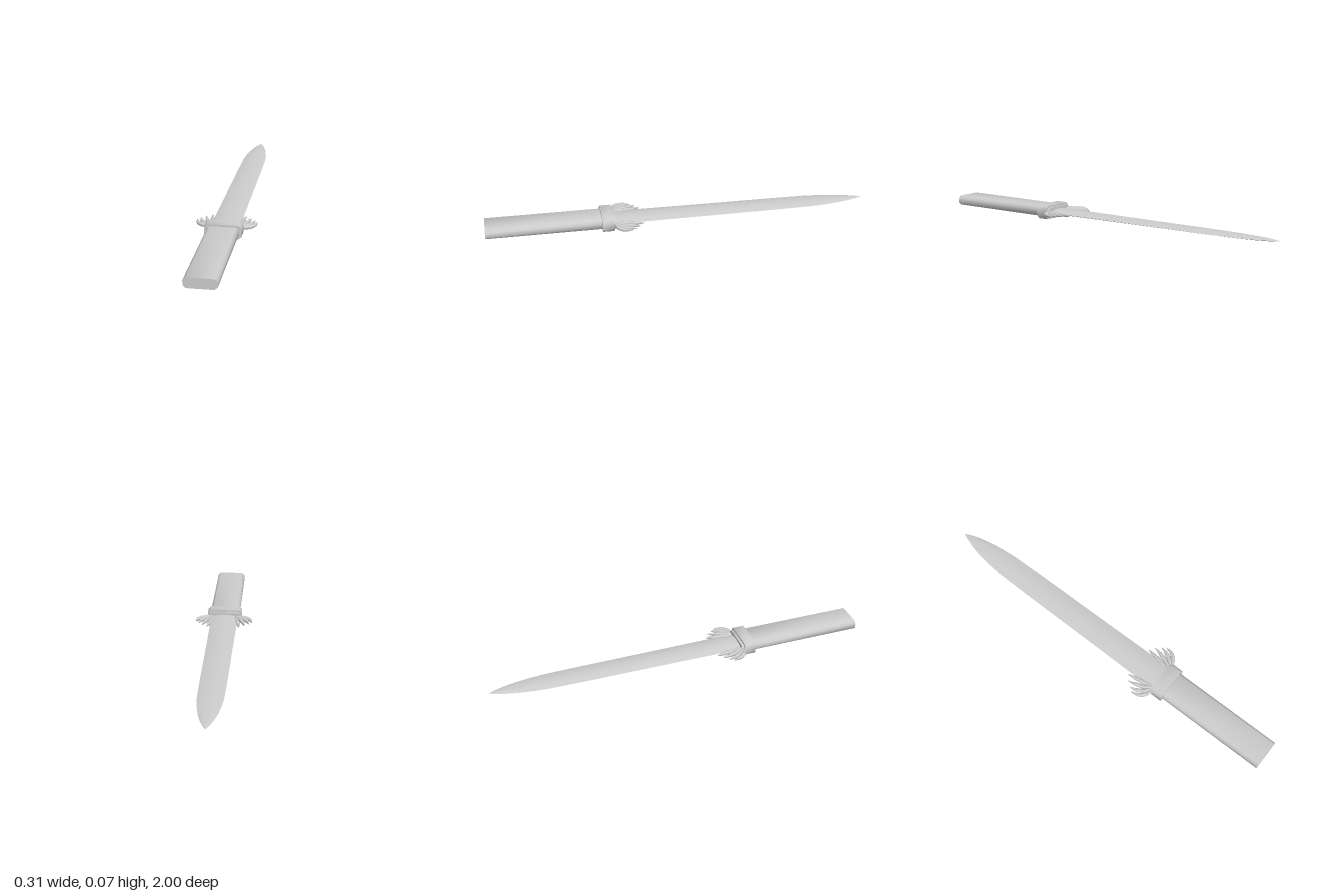
import * as THREE from 'three';
import { toCreasedNormals } from 'three/addons/utils/BufferGeometryUtils.js';

const MID = 0.036; // height of the blade's central plane

// Bevelled bar running along z
function bar(halfW, halfH, cut, z0, z1) {
  const w = halfW, h = halfH, c = cut;
  const shape = new THREE.Shape([
    [w, -h + c], [w, h - c], [w - c, h], [-w + c, h],
    [-w, h - c], [-w, -h + c], [-w + c, -h], [w - c, -h],
  ].map(([x, y]) => new THREE.Vector2(x, y)));
  const geo = new THREE.ExtrudeGeometry(shape, { depth: z1 - z0, bevelEnabled: false });
  geo.translate(0, MID, z0);
  return toCreasedNormals(geo, 1);
}

// Sweep a unit section along a path in the xz plane; stations are [x, z, halfWidth, halfHeight]
function loft(stations, section, crease) {
  const pts = stations.map(([x, z]) => new THREE.Vector3(x, MID, z));
  const up = new THREE.Vector3(0, 1, 0);
  const pos = [], index = [], n = section.length;
  stations.forEach(([, , w, h], i) => {
    const dir = pts[Math.min(i + 1, pts.length - 1)].clone().sub(pts[Math.max(i - 1, 0)]).normalize();
    const side = up.clone().cross(dir);
    for (const [u, v] of section) {
      pos.push(...pts[i].clone().addScaledVector(side, u * w).addScaledVector(up, v * h).toArray());
    }
  });
  for (let i = 0; i < stations.length - 1; i++) {
    for (let j = 0; j < n; j++) {
      const a = i * n + j, b = i * n + (j + 1) % n;
      index.push(a, b, a + n, b, b + n, a + n);
    }
  }
  const geo = new THREE.BufferGeometry();
  geo.setAttribute('position', new THREE.Float32BufferAttribute(pos, 3));
  geo.setIndex(index);
  return toCreasedNormals(geo, crease);
}

export function createModel() {
  const group = new THREE.Group();
  const steel = new THREE.MeshStandardMaterial({ color: 0xcccccc });
  const add = (name, geo) => {
    const mesh = new THREE.Mesh(geo, steel);
    mesh.name = name;
    group.add(mesh);
  };

  // Grip, guard block and the smaller lip in front of it
  add('handle', bar(0.079, 0.026, 0.014, 0.39, 1));
  add('guard', bar(0.093, 0.036, 0.014, 0.345, 0.405));
  add('guardLip', bar(0.087, 0.026, 0.014, 0.332, 0.35));

  // Blade with a lens-shaped section, curving in to the point
  const lens = [[1, 0], [0.6, 0.7], [0.2, 1], [-0.2, 1], [-0.6, 0.7],
    [-1, 0], [-0.6, -0.7], [-0.2, -1], [0.2, -1], [0.6, -0.7]];
  add('blade', loft([
    [0, 0.35, 0.074, 0.014], [0, 0, 0.07, 0.012], [0, -0.5, 0.067, 0.01],
    [0, -0.7, 0.064, 0.009], [0, -0.78, 0.057, 0.0085], [0, -0.86, 0.045, 0.008],
    [0, -0.92, 0.031, 0.0065], [0, -0.97, 0.014, 0.004], [0, -1, 0.0002, 0.0002],
  ], lens, 0.6));

  // Fan of curved feathers on both sides: base, bend and tip in x and z
  const round = Array.from({ length: 8 }, (_, i) => [Math.cos(i * Math.PI / 4), Math.sin(i * Math.PI / 4)]);
  const feathers = [
    [[0.062, 0.33], [0.078, 0.25], [0.087, 0.19]],
    [[0.068, 0.335], [0.105, 0.28], [0.115, 0.21]],
    [[0.072, 0.338], [0.13, 0.305], [0.137, 0.235]],
    [[0.074, 0.342], [0.152, 0.33], [0.151, 0.255]],
  ];
  for (const mirror of [1, -1]) {
    for (const points of feathers) {
      const curve = new THREE.QuadraticBezierCurve(
        ...points.map(([x, z]) => new THREE.Vector2(x * mirror, z)));
      const stations = curve.getPoints(10).map((p, i) => {
        const t = i / 10;
        const taper = Math.max(0.02, Math.sqrt(1 - t ** 3));
        return [p.x, p.y, (0.005 + 0.007 * Math.sin(t * Math.PI)) * taper, 0.0105 * taper];
      });
      add(mirror > 0 ? 'leftFeather' : 'rightFeather', loft(stations, round, 1.2));
    }
  }
  return group;
}
